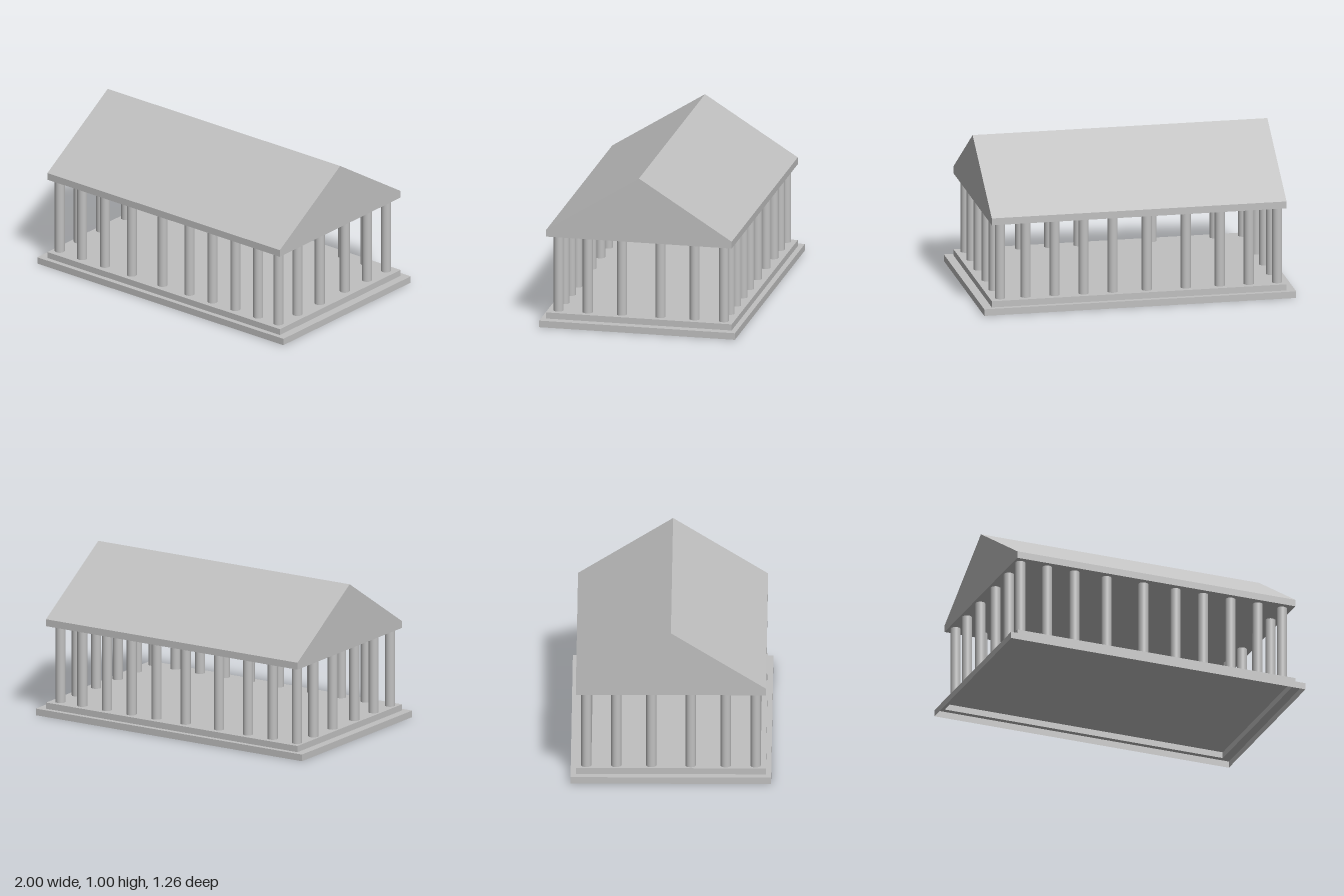
import * as THREE from 'three';

export function createModel() {
  const model = new THREE.Group();
  const stone = new THREE.MeshStandardMaterial({ color: 0xc0c0c0, side: THREE.DoubleSide });
  stone.name = 'stone grey';

  const add = (name, geometry, parent = model) => {
    const mesh = new THREE.Mesh(geometry, stone);
    mesh.name = name;
    parent.add(mesh);
    return mesh;
  };

  // Box open at the bottom, and at the top unless a lid is wanted
  const openBox = (w, d, y0, y1, lid) => {
    const g = new THREE.BoxGeometry(w, y1 - y0, d).translate(0, (y0 + y1) / 2, 0);
    const keep = lid ? [0, 1, 2, 4, 5] : [0, 1, 4, 5];
    const index = Array.from(g.index.array);
    g.setIndex(keep.flatMap((f) => index.slice(f * 6, f * 6 + 6)));
    g.clearGroups();
    return g;
  };

  const rectangle = (Type, w, d) => new Type([
    new THREE.Vector2(-w / 2, -d / 2), new THREE.Vector2(w / 2, -d / 2),
    new THREE.Vector2(w / 2, d / 2), new THREE.Vector2(-w / 2, d / 2),
  ]);

  // Hollow stepped platform
  const baseY = 0.043, floorY = 0.083, ceilingY = 0.58, eaveY = 0.625;
  const width = 1.89, depth = 1.194;
  add('lowerStepWalls', openBox(2, 1.26, 0, baseY, false));
  const ledge = rectangle(THREE.Shape, 2, 1.26);
  ledge.holes.push(rectangle(THREE.Path, width, depth));
  add('lowerStepLedge', new THREE.ShapeGeometry(ledge).rotateX(-Math.PI / 2).translate(0, baseY, 0));
  add('upperStepFloor', openBox(width, depth, baseY, floorY, true));

  // Columns around the edge, set wider apart toward the middle
  const xs = [-0.898, -0.716, -0.53, -0.312, -0.062, 0.157, 0.344, 0.53, 0.715, 0.88];
  const zs = [-0.532, -0.344, -0.124, 0.124, 0.344, 0.532];
  const columns = new THREE.Group();
  columns.name = 'columns';
  model.add(columns);
  const shaft = new THREE.CylinderGeometry(0.032, 0.032, ceilingY - floorY, 32, 1, true);
  xs.forEach((x, i) => zs.forEach((z, j) => {
    const onEdge = i === 0 || i === xs.length - 1 || j === 0 || j === zs.length - 1;
    if (onEdge) add('column', shaft, columns).position.set(x, (floorY + ceilingY) / 2, z);
  }));

  // Gabled roof with a flat ceiling and a shallow eave band
  const h = depth / 2;
  const gable = new THREE.Shape([
    new THREE.Vector2(-h, ceilingY), new THREE.Vector2(h, ceilingY), new THREE.Vector2(h, eaveY),
    new THREE.Vector2(0, 1), new THREE.Vector2(-h, eaveY),
  ]);
  add('roof', new THREE.ExtrudeGeometry(gable, { depth: width, bevelEnabled: false })
    .translate(0, 0, -width / 2).rotateY(Math.PI / 2));

  return model;
}
